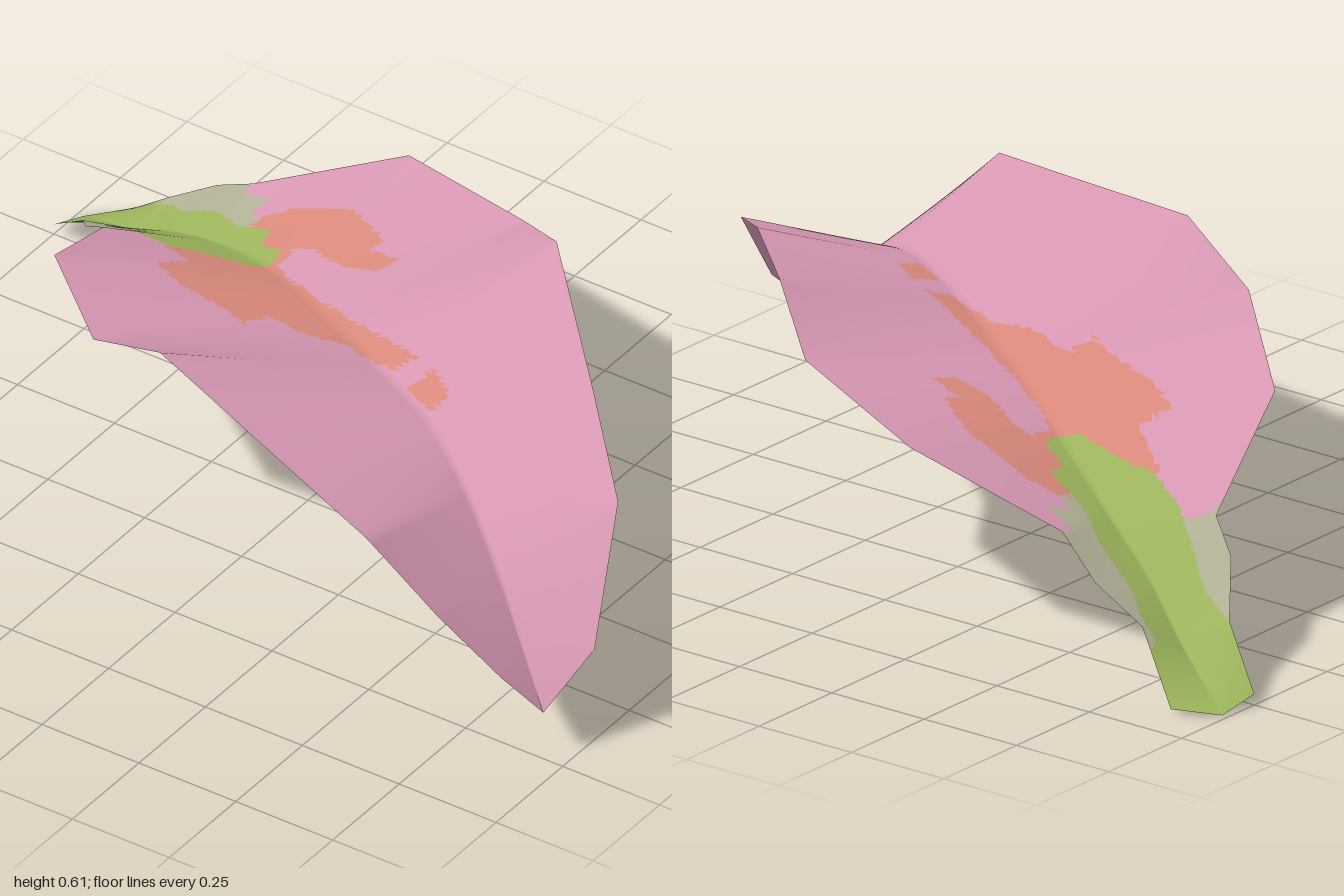
import * as THREE from 'three';

// Cross-sections from base to tip: front edge, midrib, back edge
const sections = [
  [[-1, .03, -.5], [-.985, .005, -.59], [-.9, .02, -.66]],
  [[-.87, .14, -.42], [-.8, .1, -.5], [-.76, .15, -.58]],
  [[-.78, .23, -.3], [-.66, .19, -.43], [-.64, .225, -.59]],
  [[-.7, .29, -.25], [-.5, .27, -.36], [-.52, .3, -.55]],
  [[-.6, .45, .08], [-.25, .37, -.23], [-.19, .445, -.655]],
  [[-.3, .52, .37], [0, .43, -.08], [.2, .51, -.52]],
  [[-.08, .615, .44], [.22, .465, .05], [.38, .61, -.38]],
  [[.3, .567, .56], [.43, .475, .17], [.7, .55, -.05]],
  [[.6, .53, .655], [.6, .43, .28], [.91, .46, .16]],
  [[.76, .37, .62], [.75, .34, .38], [.955, .35, .27]],
  [[.88, .225, .56], [.86, .235, .45], [1, .24, .38]],
  [[.95, .125, .5], [.95, .125, .5], [.95, .125, .5]],
];

// Colour patches outlined in x, z; the first one that contains a face wins
const patches = [
  { material: 1, outline: [[-1.1, -.4], [-.87, -.42], [-.78, -.39], [-.7, -.33], [-.6, -.26], [-.5, -.22], [-.42, -.23],
    [-.3, -.21], [-.27, -.25], [-.28, -.31], [-.34, -.32], [-.36, -.38], [-.45, -.4], [-.56, -.47], [-.68, -.51],
    [-.73, -.55], [-.79, -.57], [-.82, -.7], [-1.1, -.7]] },
  { material: 2, outline: [[-.9, -.4], [-.78, -.27], [-.69, -.23], [-.66, -.28], [-.58, -.3], [-.45, -.38], [-.42, -.42],
    [-.46, -.46], [-.43, -.49], [-.52, -.52], [-.54, -.62], [-.82, -.62]] },
  { material: 3, outline: [[-.44, -.42], [-.36, -.46], [-.2, -.46], [-.14, -.42], [-.07, -.38], [-.07, -.33], [.02, -.32],
    [-.02, -.26], [-.12, -.27], [-.2, -.31], [-.25, -.31], [-.24, -.23], [-.3, -.2], [-.38, -.36]] },
  { material: 3, outline: [[-.53, -.22], [-.4, -.24], [-.28, -.26], [-.15, -.18], [.02, -.1], [.15, -.05], [.28, 0],
    [.25, .05], [.1, .01], [.02, .03], [-.1, 0], [-.12, .07], [-.2, .03], [-.33, 0], [-.43, -.06], [-.4, -.14]] },
  { material: 3, outline: [[.34, .02], [.42, .08], [.41, .14], [.32, .09]] },
];

function inside(x, z, outline) {
  let hit = false;
  outline.forEach(([ax, az], i) => {
    const [bx, bz] = outline[(i + 1) % outline.length];
    if ((az > z) !== (bz > z) && x < ax + (bx - ax) * (z - az) / (bz - az)) hit = !hit;
  });
  return hit;
}

function petalGeometry() {
  const steps = 12, half = 32, across = half * 2, rows = (sections.length - 1) * steps;
  const rib = new THREE.CatmullRomCurve3(sections.map((s) => new THREE.Vector3(...s[1])));
  const edgePoint = (i, side) => {
    const k = Math.min(Math.floor(i / steps), sections.length - 2);
    return new THREE.Vector3(...sections[k][side])
      .lerp(new THREE.Vector3(...sections[k + 1][side]), i / steps - k);
  };
  const position = [];
  for (let i = 0; i <= rows; i++) {
    const middle = rib.getPoint(i / rows), front = edgePoint(i, 0), back = edgePoint(i, 2);
    for (let j = 0; j <= across; j++) {
      const p = middle.clone().lerp(j < half ? front : back, Math.abs(j - half) / half);
      position.push(p.x, p.y, p.z);
    }
  }

  // Sort the faces by colour
  const faces = [[], [], [], []];
  const addFace = (...corners) => {
    const x = corners.reduce((sum, c) => sum + position[c * 3], 0) / 3;
    const z = corners.reduce((sum, c) => sum + position[c * 3 + 2], 0) / 3;
    const patch = patches.find((p) => inside(x, z, p.outline));
    faces[patch ? patch.material : 0].push(...corners);
  };
  for (let i = 0; i < rows; i++) {
    for (let j = 0; j < across; j++) {
      const a = i * (across + 1) + j, b = a + across + 1;
      addFace(a, b, b + 1);
      addFace(a, b + 1, a + 1);
    }
  }

  const geometry = new THREE.BufferGeometry();
  geometry.setAttribute('position', new THREE.Float32BufferAttribute(position, 3));
  geometry.setIndex(faces.flat());
  let start = 0;
  faces.forEach((list, m) => {
    geometry.addGroup(start, list.length, m);
    start += list.length;
  });
  geometry.computeVertexNormals();
  return geometry;
}

export function createModel() {
  const material = (name, color) =>
    new THREE.MeshStandardMaterial({ name, color, side: THREE.DoubleSide });
  const materials = [
    material('petalPink', 0xd898b4),
    material('stemGreen', 0x9db65c),
    material('paleSage', 0xb2b298),
    material('blushOrange', 0xdb8a7c),
  ];
  const petal = new THREE.Mesh(petalGeometry(), materials);
  petal.name = 'petal';
  const group = new THREE.Group();
  group.name = 'fallenPetal';
  group.add(petal);
  return group;
}
